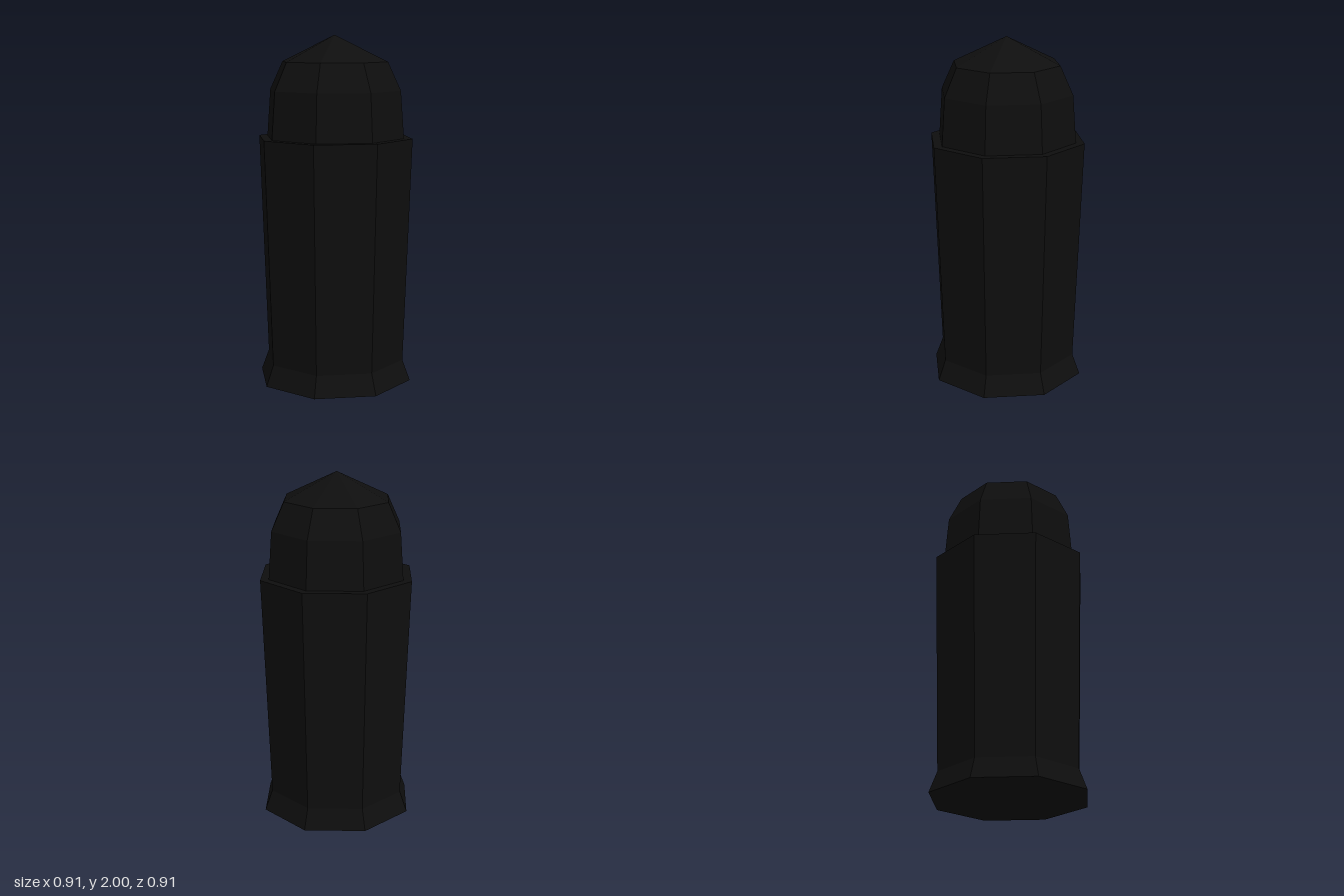
import * as THREE from 'three';

const SIDES = 8;

// Eight-sided turned part from [radius, height] pairs, bottom to top
function turned(name, profile, material) {
  const points = profile.map(([r, y]) => new THREE.Vector2(r, y));
  const mesh = new THREE.Mesh(new THREE.LatheGeometry(points, SIDES), material);
  mesh.name = name;
  return mesh;
}

export function createModel() {
  const group = new THREE.Group();
  group.name = 'domedPost';
  const black = new THREE.MeshStandardMaterial({ color: 0x0e0e0e, flatShading: true });

  // Flared foot with a closed underside
  group.add(turned('foot', [[0, 0], [0.455, 0], [0.41, 0.12]], black));

  // Body widening upwards to a flat shoulder
  group.add(turned('body', [[0.41, 0.12], [0.455, 1.42], [0.405, 1.42]], black));

  // Faceted dome rising to a point
  group.add(turned('dome', [[0.405, 1.42], [0.385, 1.69], [0.31, 1.85], [0, 2]], black));

  return group;
}
